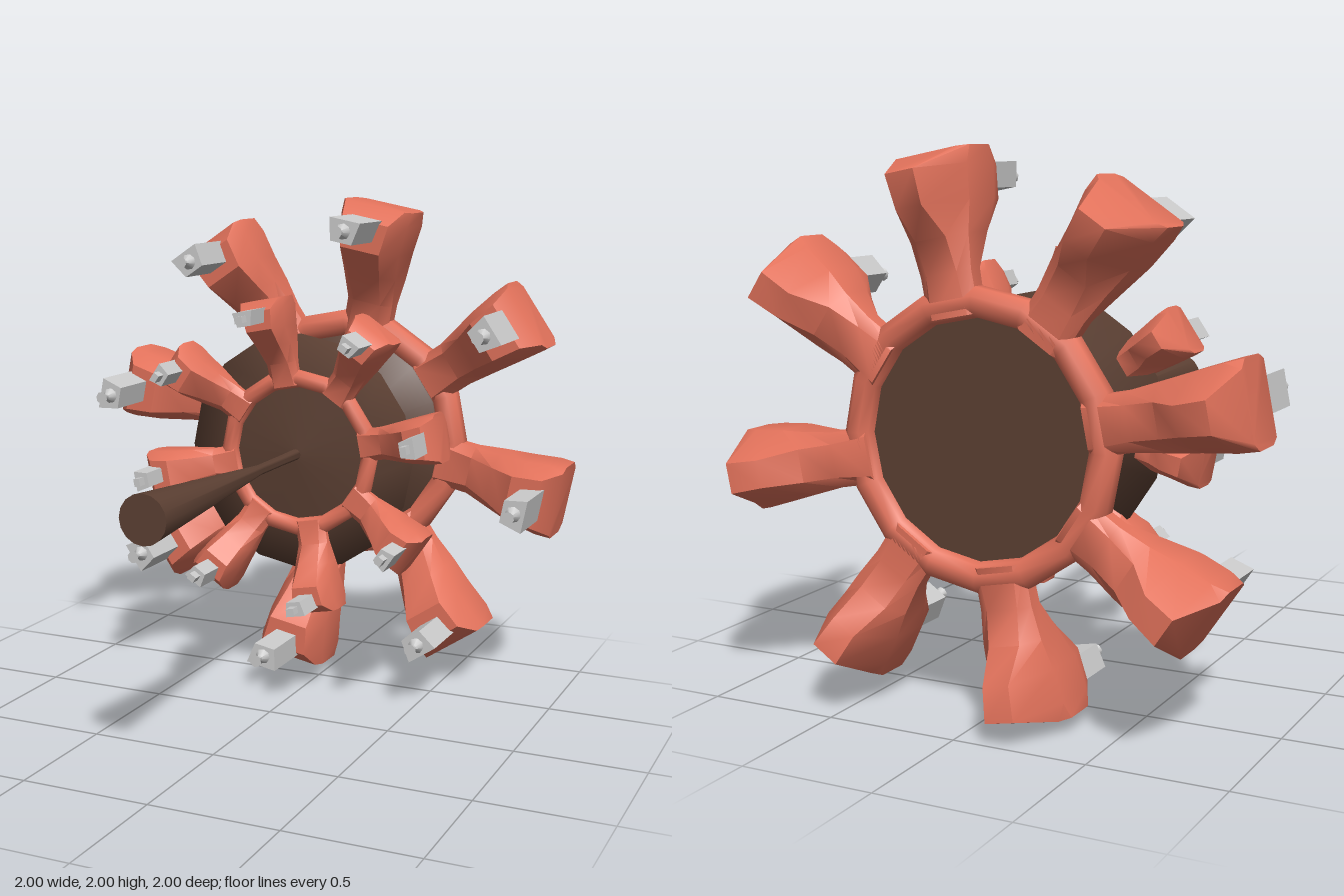
import * as THREE from 'three';
import { toCreasedNormals } from 'three/addons/utils/BufferGeometryUtils.js';

const red = new THREE.MeshStandardMaterial({ color: 0xe2725b });
const brown = new THREE.MeshStandardMaterial({ color: 0x5c4033 });
const grey = new THREE.MeshStandardMaterial({ color: 0xcccccc });

function mesh(geometry, material, name) {
  const m = new THREE.Mesh(geometry, material);
  m.name = name;
  return m;
}

// Solid of revolution about the z axis from [radius, z] pairs, z rising
function turned(profile, sides, crease = 0.9) {
  const g = new THREE.LatheGeometry(profile.map(([r, z]) => new THREE.Vector2(r, z)), sides);
  return toCreasedNormals(g.rotateX(Math.PI / 2), crease);
}

// Arm swelling into a pod: eight-sided sections stacked along x (the radius)
function armGeometry() {
  // radius, half width, front half width, back half width, z of front, shoulders and back
  const sections = [
    [0.43, 0.10, 0.07, 0.07, -0.22, -0.25, -0.30, -0.33],
    [0.58, 0.10, 0.06, 0.06, -0.20, -0.24, -0.30, -0.33],
    [0.70, 0.115, 0.07, 0.06, -0.10, -0.17, -0.30, -0.36],
    [0.81, 0.13, 0.085, 0.05, 0.00, -0.11, -0.28, -0.46],
    [0.93, 0.145, 0.10, 0.055, 0.00, -0.10, -0.28, -0.48],
    [0.99, 0.15, 0.13, 0.12, -0.08, -0.12, -0.25, -0.29],
  ];
  const pos = [], index = [], n = 8;
  for (const [r, w, a, b, zf, z1, z2, zb] of sections) {
    const loop = [[b, zb], [w, z2], [w, z1], [a, zf], [-a, zf], [-w, z1], [-w, z2], [-b, zb]];
    for (const [y, z] of loop) pos.push(r, y, z);
  }
  for (let k = 0; k < sections.length - 1; k++) {
    for (let i = 0; i < n; i++) {
      const a = k * n + i, b = k * n + (i + 1) % n;
      index.push(a, b, b + n, a, b + n, a + n);
    }
  }
  const last = (sections.length - 1) * n;
  for (let i = 1; i < n - 1; i++) {
    index.push(last, last + i, last + i + 1, 0, i + 1, i);
  }
  const g = new THREE.BufferGeometry();
  g.setAttribute('position', new THREE.Float32BufferAttribute(pos, 3));
  g.setIndex(index);
  return toCreasedNormals(g, 0.7);
}

// Wedge-shaped block pointing forward from the pod
function barrelGeometry(length) {
  const s = new THREE.Shape([[-0.045, -0.045], [0.045, -0.065], [0.045, 0.065], [-0.045, 0.045]]
    .map(([x, y]) => new THREE.Vector2(x, y)));
  return new THREE.ExtrudeGeometry(s, { depth: length + 0.03, bevelEnabled: false }).translate(0, 0, -0.03);
}

// Ring with eight arms, each carrying a barrel and a nozzle
function wheel(name, startDegrees, barrelLength, nozzleGeometry) {
  const g = new THREE.Group();
  g.name = name;
  g.add(mesh(turned([
    [0.42, -0.27], [0.43, -0.31], [0.46, -0.33], [0.50, -0.33], [0.53, -0.30],
    [0.53, -0.25], [0.50, -0.22], [0.46, -0.22], [0.43, -0.24], [0.42, -0.27],
  ], 16), red, 'ring'));
  const arm = armGeometry(), barrel = barrelGeometry(barrelLength);
  for (let i = 0; i < 8; i++) {
    const spoke = new THREE.Group();
    spoke.name = 'spoke';
    spoke.rotation.z = THREE.MathUtils.degToRad(startDegrees + i * 45);
    const b = mesh(barrel, grey, 'barrel');
    const n = mesh(nozzleGeometry, grey, 'nozzle');
    b.position.x = n.position.x = 0.9;
    n.position.z = barrelLength;
    spoke.add(mesh(arm, red, 'podArm'), b, n);
    g.add(spoke);
  }
  return g;
}

export function createModel() {
  const model = new THREE.Group();
  model.name = 'doubleWheel';
  const body = new THREE.Group();
  body.name = 'assembly';
  body.position.y = 1;
  model.add(body);

  // Long shaft, widening toward its free front end
  body.add(mesh(turned([
    [0.022, -0.28], [0.02, -0.1], [0.02, 0.1], [0.09, 1], [0, 1],
  ], 16), brown, 'shaft'));

  // Front hub: disc with a shallow cone behind it
  body.add(mesh(turned([
    [0, -0.42], [0.1, -0.41], [0.48, -0.295], [0.27, -0.28], [0.03, -0.245], [0, -0.245],
  ], 16, 3.1), brown, 'frontHub'));

  // Rear hub: trumpet flaring back to a flat disc
  body.add(mesh(turned([
    [0, -0.8], [0.44, -0.8], [0.42, -0.77], [0.26, -0.745], [0.05, -0.57], [0.03, -0.4], [0, -0.4],
  ], 16), brown, 'rearHub'));

  // Large rear wheel with waisted nozzles
  const rear = wheel('rearWheel', 79, 0.22, turned([
    [0, -0.01], [0.032, 0], [0.012, 0.03], [0.012, 0.045], [0.026, 0.07], [0, 0.07],
  ], 8));
  rear.position.z = -0.52;
  body.add(rear);

  // Small front wheel with plain nozzles
  const front = wheel('frontWheel', 101, 0.19, new THREE.BoxGeometry(0.04, 0.05, 0.13));
  front.scale.setScalar(0.635);
  front.position.z = -0.11;
  body.add(front);

  return model;
}
